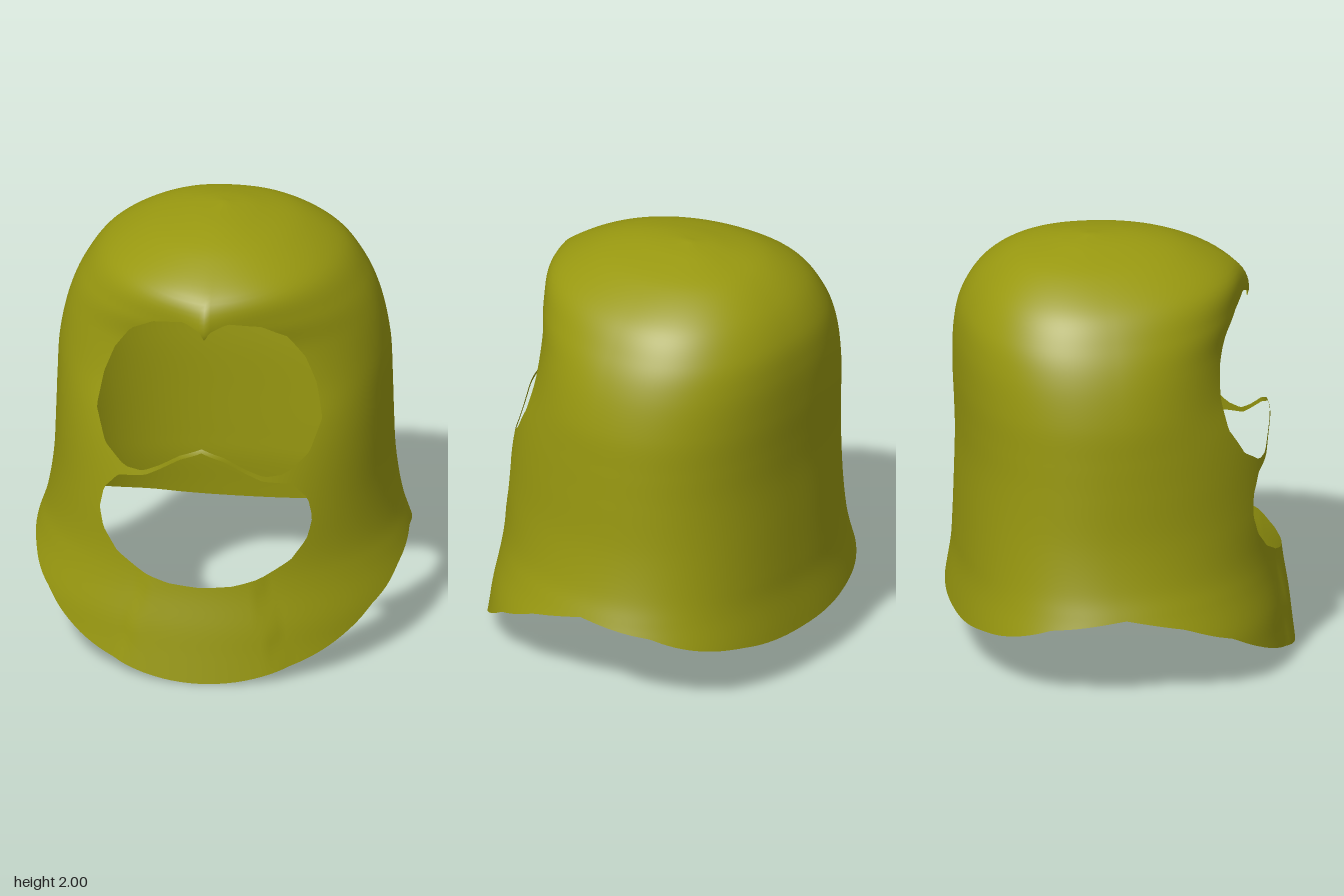
import * as THREE from 'three';
import { mergeVertices } from 'three/addons/utils/BufferGeometryUtils.js';

const COLUMNS = 144, ROWS = 90, CENTER_Z = -0.15;

// Horizontal sections: height, half width, front z, back z
const sections = [
  [0, 0.98, 0.775, -0.8], [0.13, 0.94, 0.76, -0.795], [0.26, 0.91, 0.745, -0.78],
  [0.42, 0.85, 0.72, -0.76], [0.55, 0.81, 0.71, -0.755], [0.75, 0.78, 0.705, -0.75],
  [0.98, 0.77, 0.665, -0.745], [1.15, 0.765, 0.61, -0.75], [1.33, 0.755, 0.53, -0.758],
  [1.52, 0.715, 0.5, -0.755], [1.67, 0.65, 0.52, -0.725], [1.81, 0.545, 0.51, -0.64],
  [1.92, 0.36, 0.33, -0.5], [1.977, 0.16, 0.12, -0.31], [2, 0, -0.15, -0.15],
];
const last = sections.length - 1;
const profile = new THREE.CubicInterpolant(sections.map((_, i) => i), sections.flat(), 4);
const stationAt = new THREE.LinearInterpolant(sections.map((s) => s[0]), sections.map((_, i) => i), 1);

// Height of the lower rim, from the back (-1) to the front (1)
const rim = new THREE.LinearInterpolant(
  [-1, -0.93, -0.75, -0.49, 0, 0.316, 0.589, 0.787, 0.93, 1],
  [0.22, 0.25, 0.3, 0.37, 0.42, 0.35, 0.25, 0.13, 0.05, 0], 1);

// Openings: the +x half of each outline, mirrored
const mirrored = (half) => [
  ...half, ...half.filter((p) => p[0] > 0).reverse().map(([x, y]) => [-x, y]),
];
const eyeOpening = mirrored([
  [0, 1.13], [0.1, 1.09], [0.2, 1.02], [0.28, 0.975], [0.37, 0.975], [0.47, 1.05], [0.52, 1.19],
  [0.49, 1.35], [0.44, 1.48], [0.36, 1.6], [0.25, 1.67], [0.1, 1.705], [0.02, 1.67], [0, 1.63],
]);
const mouthOpening = mirrored([
  [0, 1.112], [0.1, 1.07], [0.2, 1.0], [0.27, 0.957], [0.4, 0.925], [0.47, 0.84], [0.49, 0.74],
  [0.47, 0.65], [0.4, 0.56], [0.28, 0.495], [0.15, 0.465], [0, 0.455],
]);

// Distance to an outline, negative inside
function outlineDistance(outline, x, y) {
  let best = Infinity, inside = false;
  outline.forEach(([ax, ay], i) => {
    const [bx, by] = outline[(i + 1) % outline.length];
    const dx = bx - ax, dy = by - ay;
    const t = THREE.MathUtils.clamp(((x - ax) * dx + (y - ay) * dy) / (dx * dx + dy * dy), 0, 1);
    best = Math.min(best, Math.hypot(x - ax - t * dx, y - ay - t * dy));
    if ((ay > y) !== (by > y) && x < ax + ((y - ay) * dx) / dy) inside = !inside;
  });
  return inside ? -best : best;
}

// Point on the hood; angle 0 is the front, t runs from rim to crown
function hoodPoint(angle, t) {
  const c = Math.cos(angle), s = Math.sin(angle);
  const start = stationAt.evaluate(rim.evaluate(c)[0])[0];
  const [y, width, front, back] = profile.evaluate(start + (last - start) * t);
  const power = c < 0 ? 2 / 2.3 : 1;
  const x = width * Math.sign(s) * Math.abs(s) ** power;
  let z = CENTER_Z + Math.abs(c) ** power * ((c < 0 ? back : front) - CENTER_Z);
  if (c > 0) {
    // pointed brow, raised nose bridge and slightly raised chin panel
    z += 0.075 * Math.exp(-Math.abs(x) / 0.13) * Math.exp(-(((y - 1.67) / 0.13) ** 2));
    z += 0.06 * Math.exp(-((x / 0.22) ** 2)) * Math.exp(-(((y - 1.12) / 0.12) ** 2));
    const edge = 0.39 - 0.27 * y;
    z += 0.016 * (1 - THREE.MathUtils.smoothstep(Math.abs(x), edge - 0.02, edge + 0.02))
      * (1 - THREE.MathUtils.smoothstep(y, 0.5, 0.7));
  }
  return [x, y, z];
}

// Cuts away the part of a polygon inside an outline
function clip(polygon, outline) {
  const d = polygon.map((p) => outlineDistance(outline, p[0], p[1]));
  const kept = [];
  polygon.forEach((p, i) => {
    const j = (i + 1) % polygon.length, q = polygon[j];
    if (d[i] >= 0) kept.push(p);
    if ((d[i] >= 0) !== (d[j] >= 0)) {
      const t = d[i] / (d[i] - d[j]);
      kept.push(p.map((v, k) => v + (q[k] - v) * t));
    }
  });
  return kept;
}

function hoodGeometry() {
  // Full closed grid, for smooth normals
  const points = [], faces = [];
  for (let r = 0; r <= ROWS; r++) {
    for (let k = 0; k < COLUMNS; k++) {
      points.push(...hoodPoint((k / COLUMNS) * Math.PI * 2, r / ROWS));
      if (r === ROWS) continue;
      const n = (k + 1) % COLUMNS, a = r * COLUMNS + k, b = r * COLUMNS + n;
      faces.push([a, b, b + COLUMNS], [a, b + COLUMNS, a + COLUMNS]);
    }
  }
  const grid = new THREE.BufferGeometry();
  grid.setAttribute('position', new THREE.Float32BufferAttribute(points, 3));
  grid.setIndex(faces.flat());
  grid.computeVertexNormals();
  const normals = grid.attributes.normal.array;
  // Crown tip points straight up
  for (let i = ROWS * COLUMNS; i < (ROWS + 1) * COLUMNS; i++) normals.set([0, 1, 0], i * 3);

  // Cut the two openings out of the front
  const position = [], normal = [];
  for (const face of faces) {
    let polygon = face.map((i) => [...points.slice(i * 3, i * 3 + 3), ...normals.slice(i * 3, i * 3 + 3)]);
    if (polygon.every((p) => p[2] > 0)) {
      polygon = clip(polygon, eyeOpening);
      polygon = clip(polygon, mouthOpening);
    }
    for (let i = 1; i + 1 < polygon.length; i++) {
      for (const p of [polygon[0], polygon[i], polygon[i + 1]]) {
        position.push(p[0], p[1], p[2]);
        normal.push(p[3], p[4], p[5]);
      }
    }
  }
  const geometry = new THREE.BufferGeometry();
  geometry.setAttribute('position', new THREE.Float32BufferAttribute(position, 3));
  geometry.setAttribute('normal', new THREE.Float32BufferAttribute(normal, 3));
  return mergeVertices(geometry, 1e-5);
}

export function createModel() {
  const group = new THREE.Group();
  group.name = 'hoodMask';
  const material = new THREE.MeshStandardMaterial({ color: 0x999910, side: THREE.DoubleSide });
  const hood = new THREE.Mesh(hoodGeometry(), material);
  hood.name = 'hood';
  group.add(hood);
  return group;
}
